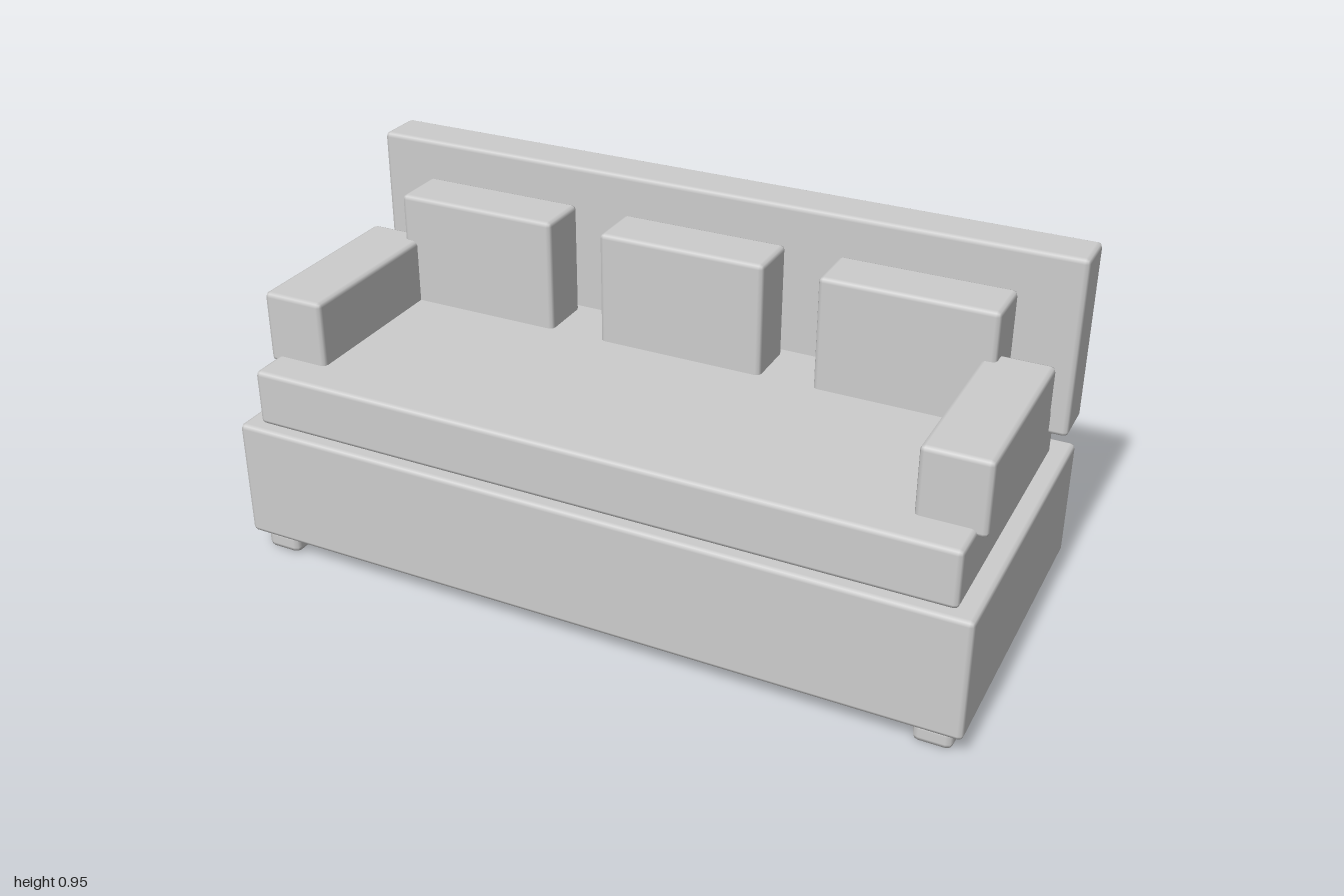
import * as THREE from 'three';
import { RoundedBoxGeometry } from 'three/addons/geometries/RoundedBoxGeometry.js';

const fabric = new THREE.MeshStandardMaterial({ color: 0xcccccc });
fabric.name = 'lightGrey';

// Soft-edged block given by its extents along each axis
function block(name, [x0, x1], [y0, y1], [z0, z1], radius = 0.013) {
  const geometry = new RoundedBoxGeometry(x1 - x0, y1 - y0, z1 - z0, 1, radius);
  const mesh = new THREE.Mesh(geometry, fabric);
  mesh.position.set((x0 + x1) / 2, (y0 + y1) / 2, (z0 + z1) / 2);
  mesh.name = name;
  return mesh;
}

export function createModel() {
  const sofa = new THREE.Group();
  sofa.name = 'sofa';

  // Main body
  sofa.add(
    block('base', [-1, 1], [0.058, 0.389], [-0.442, 0.442]),
    block('seat', [-0.952, 0.952], [0.389, 0.544], [-0.362, 0.412]),
    block('backrest', [-1, 1], [0.468, 0.954], [-0.442, -0.31])
  );

  // Loose back cushions
  ['rightCushion', 'middleCushion', 'leftCushion'].forEach((name, i) => {
    const x = (i - 1) * 0.61;
    sofa.add(block(name, [x - 0.232, x + 0.232], [0.525, 0.853], [-0.297, -0.144]));
  });

  // Mirrored armrests and feet
  for (const [side, s] of [['left', 1], ['right', -1]]) {
    const arm = s * 0.889, foot = s * 0.922;
    sofa.add(block(side + 'Armrest', [arm - 0.087, arm + 0.087], [0.523, 0.722], [-0.198, 0.311]));
    for (const [end, z] of [['Front', 0.367], ['Back', -0.364]]) {
      sofa.add(block(side + end + 'Foot', [foot - 0.05, foot + 0.05], [0, 0.056], [z - 0.05, z + 0.05], 0.017));
    }
  }
  return sofa;
}
